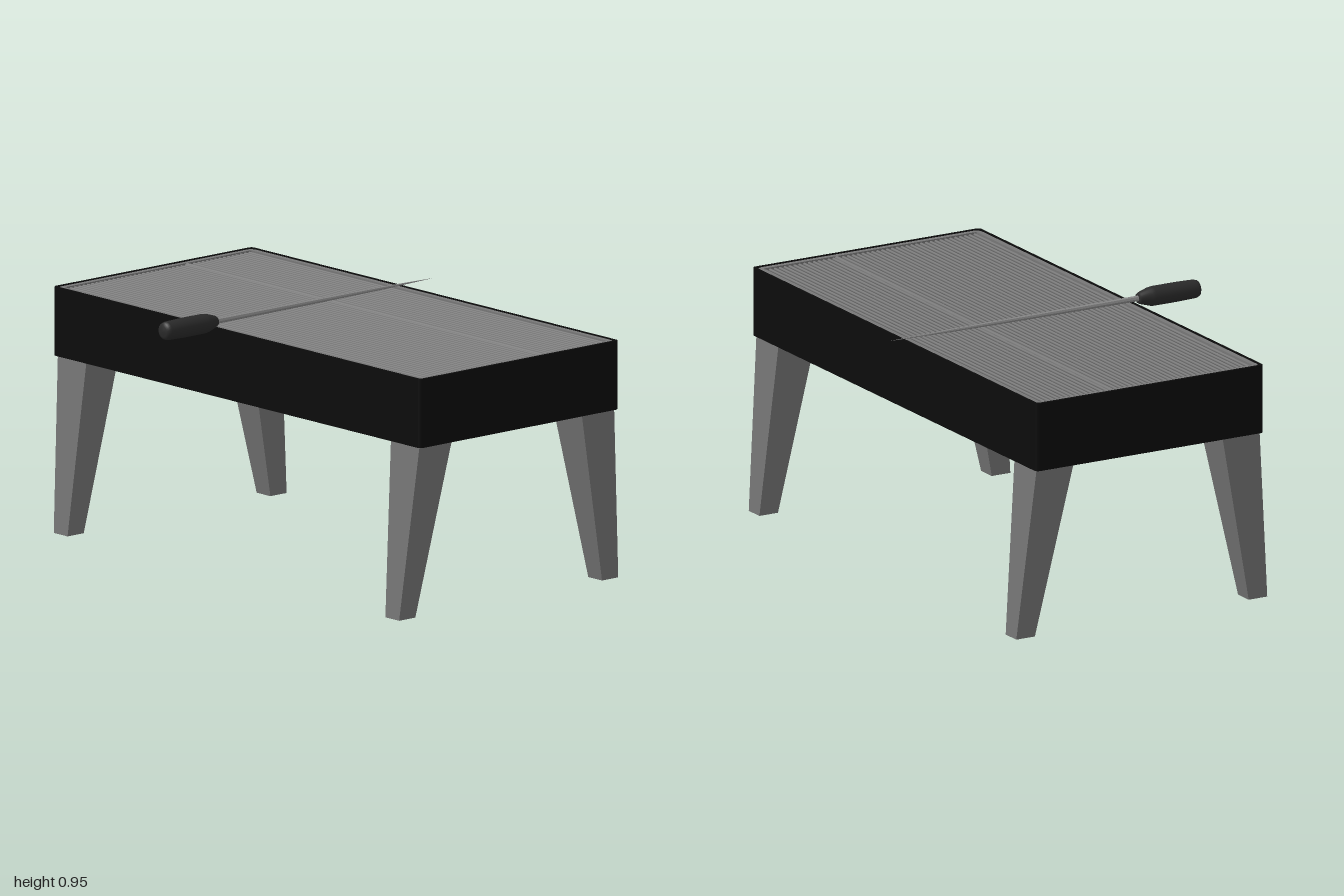
import * as THREE from 'three';

const CZ = -0.077; // middle of the firebox in z
const BASE = 0.64, TOP = 0.895;

const paint = (color, extra = {}) => new THREE.MeshStandardMaterial({ color, ...extra });

function add(parent, name, geometry, material, x = 0, y = 0, z = 0) {
  const mesh = new THREE.Mesh(geometry, material);
  mesh.name = name;
  mesh.position.set(x, y, z);
  parent.add(mesh);
  return mesh;
}

// Rounded rectangle outline, half sizes w and d, corner radius r
function roundedRect(w, d, r, Kind = THREE.Shape) {
  const s = new Kind();
  s.absarc(w - r, d - r, r, 0, Math.PI / 2);
  s.absarc(-w + r, d - r, r, Math.PI / 2, Math.PI);
  s.absarc(-w + r, -d + r, r, Math.PI, Math.PI * 1.5);
  s.absarc(w - r, -d + r, r, Math.PI * 1.5, Math.PI * 2);
  s.closePath();
  return s;
}

// Flat plate or ring standing on y = 0, optionally with a rounded opening
function slab(w, d, r, height, rim = 0) {
  const shape = roundedRect(w, d, r);
  if (rim) shape.holes.push(roundedRect(w - rim, d - rim, Math.max(r - rim, 0.008), THREE.Path));
  const g = new THREE.ExtrudeGeometry(shape, { depth: height, bevelEnabled: false, curveSegments: 4 });
  return g.rotateX(-Math.PI / 2);
}

// Four-sided leg that tapers and splays outwards, shaped from a unit box
function legGeometry(sx, sz) {
  const g = new THREE.BoxGeometry(1, 1, 1);
  const p = g.attributes.position;
  for (let i = 0; i < p.count; i++) {
    const up = p.getY(i) > 0;
    const [cx, wx, cz, wz] = up ? [0.907, 0.156, 0.39, 0.156] : [0.903, 0.075, 0.488, 0.078];
    p.setXYZ(i, sx * cx + p.getX(i) * wx, up ? BASE + 0.005 : 0, CZ + sz * cz + p.getZ(i) * wz);
  }
  g.computeVertexNormals();
  return g;
}

export function createModel() {
  const model = new THREE.Group();
  model.name = 'charcoalGrill';
  const black = paint(0x0b0b0b);
  const legGrey = paint(0x747474, { flatShading: true });
  const steel = paint(0x777777);
  const bladeSteel = paint(0x888888, { flatShading: true });
  const rubber = paint(0x2a2a2a);

  // Firebox: open tray with thin walls
  const firebox = new THREE.Group();
  firebox.name = 'firebox';
  model.add(firebox);
  add(firebox, 'walls', slab(1, 0.478, 0.015, TOP - BASE, 0.01), black, 0, BASE, CZ);
  add(firebox, 'floor', slab(0.995, 0.473, 0.012, 0.015), black, 0, BASE, CZ);

  // Legs
  for (const sx of [-1, 1]) for (const sz of [-1, 1]) {
    const name = (sz > 0 ? 'front' : 'back') + (sx > 0 ? 'Left' : 'Right') + 'Leg';
    add(model, name, legGeometry(sx, sz), legGrey);
  }

  // Grate: frame, long bars, supporting cross rods and one raised rod
  const grate = new THREE.Group();
  grate.name = 'grate';
  model.add(grate);
  add(grate, 'grateFrame', slab(0.99, 0.468, 0.025, 0.018, 0.02), steel, 0, TOP - 0.021, CZ);
  const bar = new THREE.CylinderGeometry(0.0055, 0.0055, 1.95, 8).rotateZ(Math.PI / 2);
  const count = 44;
  for (let i = 0; i < count; i++) {
    const z = CZ + ((i + 0.5) / count - 0.5) * 0.9;
    add(grate, 'grateBar', bar, steel, 0, TOP - 0.012, z);
  }
  const rod = new THREE.CylinderGeometry(0.005, 0.005, 0.91, 8).rotateX(Math.PI / 2);
  for (let i = -9; i <= 9; i++) add(grate, 'crossRod', rod, steel, i * 0.104 - 0.018, TOP - 0.02, CZ);
  const raised = new THREE.CylinderGeometry(0.008, 0.008, 1.94, 8).rotateZ(Math.PI / 2);
  add(grate, 'middleRod', raised, steel, 0, TOP - 0.01, -0.217);

  // Skewer lying across the grate
  const skewer = new THREE.Group();
  skewer.name = 'skewer';
  skewer.position.set(-0.117, 0.918, 0);
  model.add(skewer);
  const shaft = [[0, 0.41], [0.011, 0.41], [0.0085, -0.1], [0.006, -0.4], [0.002, -0.57], [0, -0.65]]
    .map(([r, z]) => new THREE.Vector2(r, -z));
  add(skewer, 'skewerShaft', new THREE.LatheGeometry(shaft, 8).rotateX(-Math.PI / 2), bladeSteel);
  const grip = [[0, 0.398], [0.018, 0.398], [0.022, 0.405], [0.034, 0.445], [0.036, 0.46], [0.036, 0.56],
    [0.034, 0.635], [0.03, 0.647], [0.02, 0.653], [0, 0.654]]
    .reverse().map(([r, z]) => new THREE.Vector2(r, z)).reverse();
  add(skewer, 'skewerHandle', new THREE.LatheGeometry(grip, 24).rotateX(Math.PI / 2), rubber);

  return model;
}
